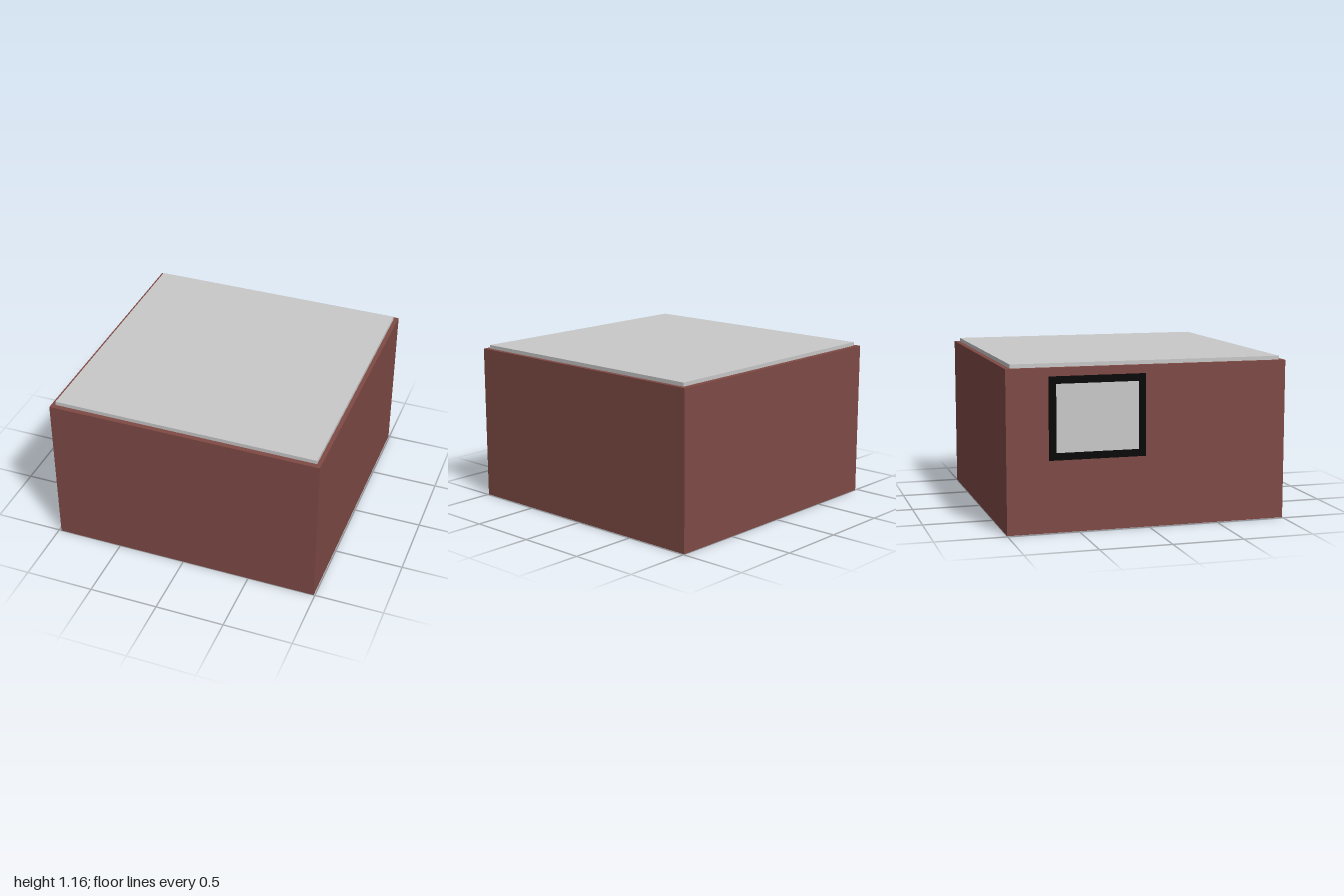
import * as THREE from 'three';

const material = (name, hex, extra = {}) => {
  const m = new THREE.MeshStandardMaterial({ color: hex, ...extra });
  m.name = name;
  return m;
};

// Rectangular ring of w x h with the given border, extruded along +z
function ring(w, h, borderX, borderY, depth) {
  const rect = (Type, a, b) => new Type([
    new THREE.Vector2(-a, -b), new THREE.Vector2(a, -b),
    new THREE.Vector2(a, b), new THREE.Vector2(-a, b),
  ]);
  const shape = rect(THREE.Shape, w / 2, h / 2);
  shape.holes.push(rect(THREE.Path, w / 2 - borderX, h / 2 - borderY));
  return new THREE.ExtrudeGeometry(shape, { depth, bevelEnabled: false });
}

export function createModel() {
  const model = new THREE.Group();
  model.name = 'flatRoofedHut';

  const brick = material('brick', 0x7f4a45);
  const roofGrey = material('roofGrey', 0xc8c8c8);
  const floorTan = material('floorTan', 0xb5a28f);
  const frameBlack = material('frameBlack', 0x0a0a0a);
  const glassGrey = material('glassGrey', 0xcacaca);

  const add = (name, geometry, mat, x, y, z) => {
    const mesh = new THREE.Mesh(geometry, mat);
    mesh.name = name;
    mesh.position.set(x, y, z);
    model.add(mesh);
    return mesh;
  };

  const wallHeight = 1.13, centreX = 0.005, width = 1.973, depth = 2;
  const borderX = 0.031, borderZ = 0.037;
  const innerW = width - 2 * borderX, innerD = depth - 2 * borderZ;

  // Four walls as one upright ring
  add('walls', ring(width, depth, borderX, borderZ, wallHeight).rotateX(-Math.PI / 2), brick, centreX, 0, 0);

  // Floor and roof slabs fitted between the walls
  add('floor', new THREE.BoxGeometry(innerW, 0.03, innerD), floorTan, centreX, 0.015, 0);
  add('roof', new THREE.BoxGeometry(innerW, 0.06, innerD), roofGrey, centreX, 1.127, 0);

  // Window on the right-hand wall, towards the back
  const wallX = centreX - width / 2;
  const winW = 0.68, winH = 0.57, winY = 0.787, winZ = -0.367, frame = 0.05;
  add('windowFrame', ring(winW, winH, frame, frame, 0.013).rotateY(-Math.PI / 2), frameBlack, wallX, winY, winZ);
  add('windowPane', new THREE.BoxGeometry(0.009, winH - 2 * frame, winW - 2 * frame), glassGrey, wallX - 0.0045, winY, winZ);

  return model;
}
